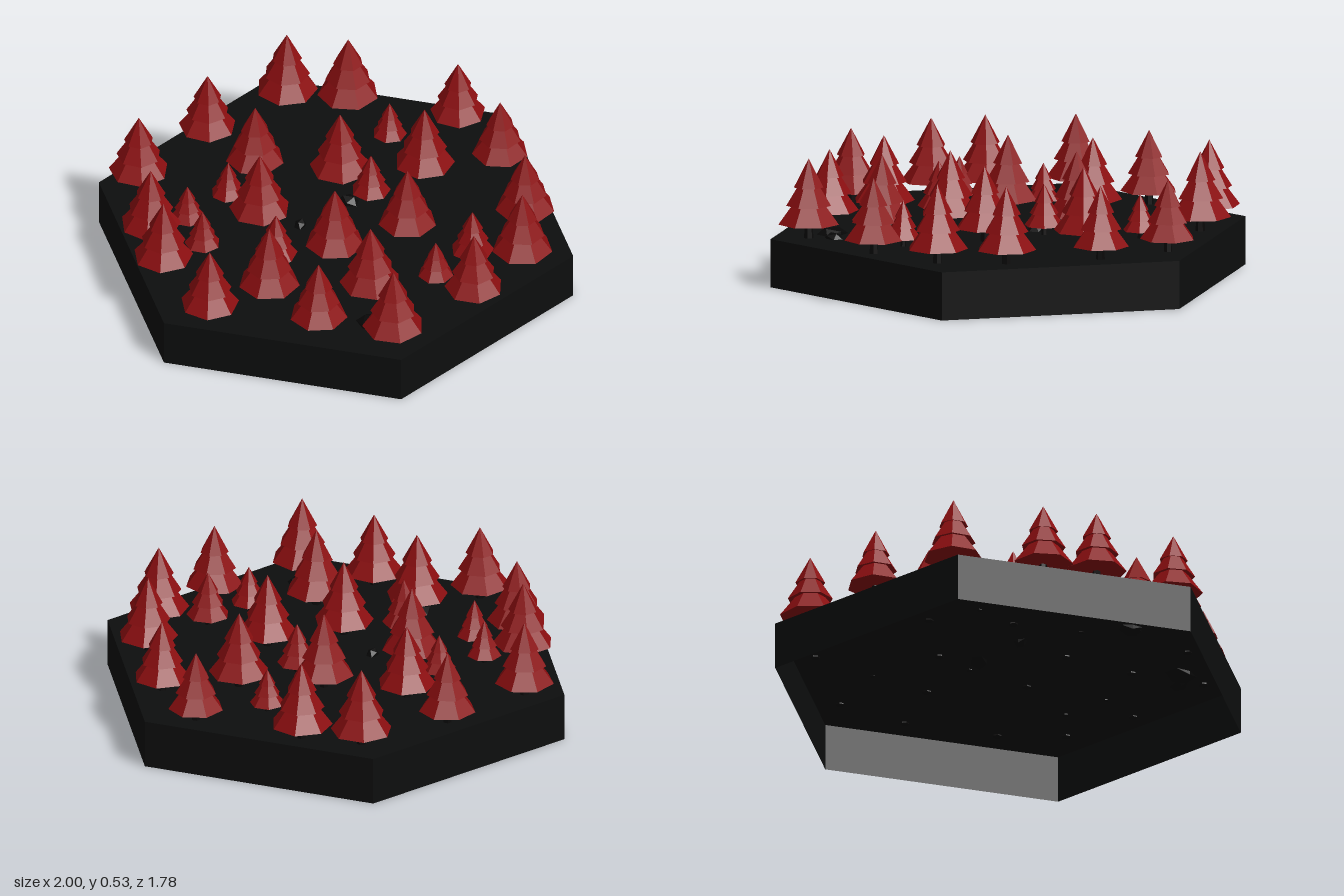
import * as THREE from 'three';

const mat = (name, color, side = THREE.FrontSide) => {
  const m = new THREE.MeshStandardMaterial({ color, flatShading: true, side });
  m.name = name;
  return m;
};

// x, z, size of every tree
const TREES = [
  [-0.40, -0.735, 1], [-0.15, -0.767, 1], [0.315, -0.76, 0.9], [0.075, -0.575, 0.56],
  [0.55, -0.54, 0.92], [-0.65, -0.41, 0.93], [0.27, -0.39, 0.98], [-0.405, -0.24, 0.95],
  [-0.055, -0.27, 0.98], [0.10, -0.175, 0.64], [0.745, -0.195, 0.97], [-0.845, -0.045, 0.97],
  [-0.46, -0.015, 0.56], [0.305, 0.02, 0.95], [-0.30, 0.09, 0.99], [0.605, 0.12, 0.7],
  [0.805, 0.08, 0.99], [-0.58, 0.185, 0.56], [-0.705, 0.30, 0.98], [0.055, 0.235, 0.97],
  [-0.475, 0.345, 0.58], [-0.165, 0.345, 0.7], [0.50, 0.31, 0.58], [0.68, 0.385, 0.95],
  [-0.60, 0.50, 0.97], [-0.135, 0.57, 1], [0.265, 0.465, 1], [-0.335, 0.765, 0.95],
  [0.115, 0.73, 0.94], [0.43, 0.73, 1],
];

// x, z, radius, height of every rock
const ROCKS = [
  [0.02, -0.12, 0.045, 0.035], [-0.13, 0.085, 0.03, 0.03],
  [0.32, 0.66, 0.07, 0.03], [0.41, 0.63, 0.045, 0.025], [-0.16, 0.55, 0.05, 0.035],
];

const GROUND = 0.2;

export function createModel() {
  const model = new THREE.Group();
  const soil = mat('ground black', 0x0d0e0e, THREE.DoubleSide);
  const foliage = mat('foliage red', 0x8b0e10);
  const bark = mat('bark black', 0x0a0909);
  const stone = mat('stone black', 0x080808);

  // Hexagonal tile, open underneath
  const tile = new THREE.Group();
  tile.name = 'hexTile';
  const walls = new THREE.Mesh(
    new THREE.CylinderGeometry(1, 1, GROUND, 6, 1, true).rotateY(Math.PI / 6), soil);
  walls.name = 'tileWalls';
  walls.position.y = GROUND / 2;
  const top = new THREE.Mesh(new THREE.CircleGeometry(1, 6).rotateX(-Math.PI / 2), soil);
  top.name = 'tileTop';
  top.position.y = GROUND;
  tile.add(walls, top);
  tile.position.z = 0.006;
  model.add(tile);

  // Three-tiered seven-sided crown, profile from bottom to tip
  const profile = [
    [0, 0.06], [0.127, 0.06], [0.064, 0.145], [0.094, 0.137],
    [0.044, 0.218], [0.062, 0.212], [0, 0.33],
  ].map(([r, y]) => new THREE.Vector2(r, y));
  const crownGeo = new THREE.LatheGeometry(profile, 7);
  const trunkGeo = new THREE.CylinderGeometry(0.016, 0.02, 0.075, 6).translate(0, 0.032, 0);

  TREES.forEach(([x, z, s], i) => {
    const tree = new THREE.Group();
    tree.name = `tree${i + 1}`;
    const crown = new THREE.Mesh(crownGeo, foliage);
    crown.name = 'crown';
    const trunk = new THREE.Mesh(trunkGeo, bark);
    trunk.name = 'trunk';
    tree.add(crown, trunk);
    tree.position.set(x, GROUND, z);
    tree.rotation.y = i * 2.4;
    tree.scale.setScalar(s);
    model.add(tree);
  });

  // Low faceted rocks
  const rockGeo = new THREE.IcosahedronGeometry(1, 0);
  ROCKS.forEach(([x, z, r, h], i) => {
    const rock = new THREE.Mesh(rockGeo, stone);
    rock.name = `rock${i + 1}`;
    rock.position.set(x, GROUND, z);
    rock.scale.set(r, h, r * 0.85);
    rock.rotation.y = i * 1.3;
    model.add(rock);
  });

  return model;
}
